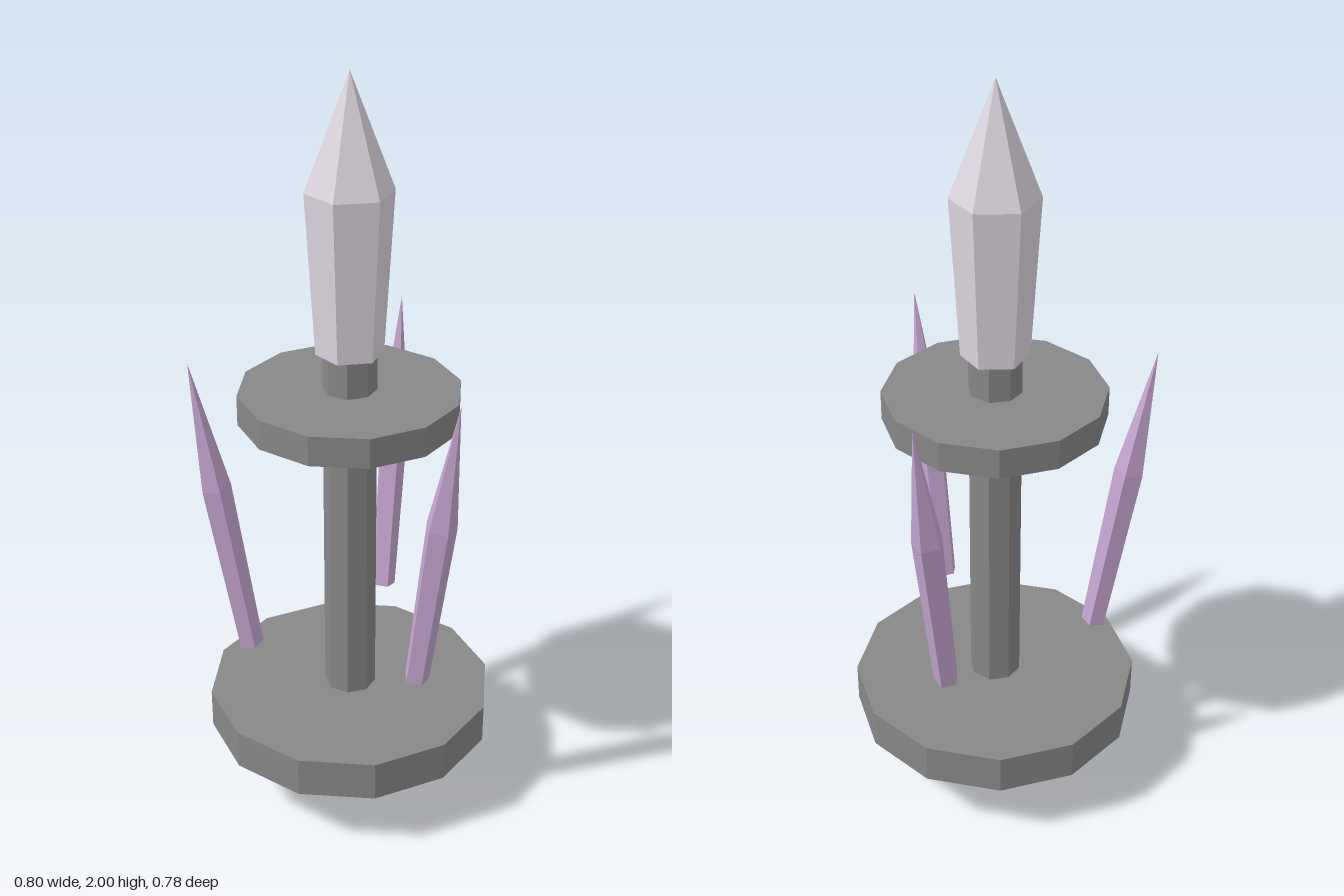
import * as THREE from 'three';

const flat = (name, color) => {
  const m = new THREE.MeshStandardMaterial({ color, flatShading: true });
  m.name = name;
  return m;
};

export function createModel() {
  const grey = flat('grey metal', 0x888888);
  const pale = flat('pale crystal', 0xddd6df);
  const violet = flat('violet crystal', 0xc6a6d1);

  const model = new THREE.Group();
  model.name = 'crystalStaff';
  const axis = new THREE.Group();
  axis.name = 'staffAxis';
  axis.position.x = -0.01;
  model.add(axis);

  const add = (name, geometry, material, parent = axis) => {
    const mesh = new THREE.Mesh(geometry, material);
    mesh.name = name;
    parent.add(mesh);
    return mesh;
  };

  // Upright prism between two heights
  const prism = (radius, y0, y1, sides) =>
    new THREE.CylinderGeometry(radius, radius, y1 - y0, sides).translate(0, (y0 + y1) / 2, 0);

  // Pointed crystal standing on its base: capped foot, widening body, tip
  const crystal = (foot, shoulder, shoulderY, tipY, sides) =>
    new THREE.LatheGeometry([
      new THREE.Vector2(0, 0),
      new THREE.Vector2(foot, 0),
      new THREE.Vector2(shoulder, shoulderY),
      new THREE.Vector2(0, tipY),
    ], sides);

  // Shaft and its two discs
  add('shaft', prism(0.07, 0, 1.29, 8), grey);
  add('lowerDisc', prism(0.39, 0.18, 0.29, 12), grey);
  add('upperDisc', prism(0.29, 1.11, 1.19, 12), grey);

  // Main crystal on top
  const main = add('mainCrystal', crystal(0.088, 0.112, 0.42, 0.71, 6).rotateY(Math.PI / 2), pale);
  main.position.y = 1.29;

  // Three floating shards leaning outward
  const shardShape = crystal(0.034, 0.041, 0.5, 0.856, 5);
  const lean = 0.157;
  for (let i = 0; i < 3; i++) {
    const a = (i * Math.PI * 2) / 3;
    const shard = add('floatingShard' + (i + 1), shardShape, violet);
    shard.position.set(Math.cos(a) * 0.275, 0.444, Math.sin(a) * 0.275);
    shard.rotation.set(Math.sin(a) * lean, 0, -Math.cos(a) * lean);
  }

  return model;
}
